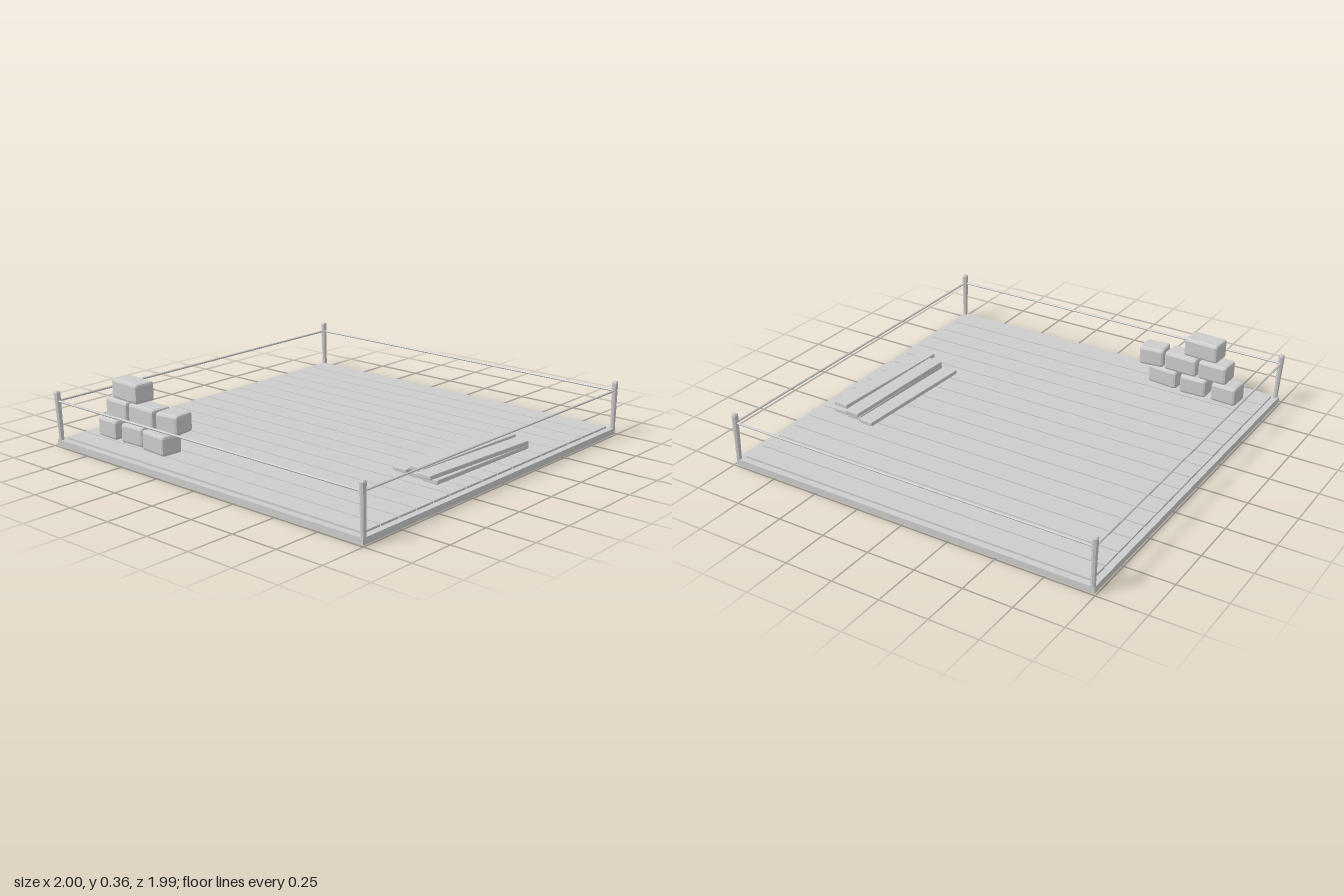
import * as THREE from 'three';
import { RoundedBoxGeometry } from 'three/addons/geometries/RoundedBoxGeometry.js';

const grey = new THREE.MeshStandardMaterial({ color: 0xcccccc, flatShading: true });
grey.name = 'plain grey';

function add(parent, name, geometry, x, y, z, turn = 0) {
  const mesh = new THREE.Mesh(geometry, grey);
  mesh.name = name;
  mesh.position.set(x, y, z);
  mesh.rotation.y = turn;
  parent.add(mesh);
  return mesh;
}

// Round bar between two points, optionally tapered
function bar(parent, name, a, b, r0, r1, sides) {
  const from = new THREE.Vector3(...a), dir = new THREE.Vector3(...b).sub(from);
  const mesh = add(parent, name, new THREE.CylinderGeometry(r1, r0, dir.length(), sides), 0, 0, 0);
  mesh.position.copy(from).addScaledVector(dir, 0.5);
  mesh.quaternion.setFromUnitVectors(new THREE.Vector3(0, 1, 0), dir.normalize());
}

export function createModel() {
  const model = new THREE.Group();
  model.name = 'woodenPlatform';

  // Base slab with a slightly raised plank floor
  add(model, 'base', new THREE.BoxGeometry(1.98, 0.032, 1.98), 0, 0.016, 0);
  const floor = new THREE.Group();
  floor.name = 'plankFloor';
  model.add(floor);
  const pitch = 0.12;
  for (let i = 0; i < 16; i++) {
    add(floor, 'plank', new THREE.BoxGeometry(1.915, 0.012, pitch - 0.007), 0, 0.036, (i - 7.5) * pitch);
  }

  // Leaning corner posts: foot x, foot z, top x, top z
  const fence = new THREE.Group();
  fence.name = 'fence';
  model.add(fence);
  const posts = [
    [-0.972, 0.979, -0.984, 0.983],
    [0.981, 0.978, 0.979, 0.981],
    [0.981, -0.981, 0.982, -0.979],
    [-0.979, -0.981, -0.982, -0.979],
  ];
  posts.forEach(([x0, z0, x1, z1]) => {
    bar(fence, 'post', [x0, 0.03, z0], [x1, 0.272, z1], 0.012, 0.016, 8);
    bar(fence, 'postCap', [x1, 0.272, z1], [x1, 0.28, z1], 0.016, 0.012, 8);
  });
  // One rail along each side
  posts.forEach((p, i) => {
    const q = posts[(i + 1) % 4];
    bar(fence, 'rail', [p[2], 0.23, p[3]], [q[2], 0.23, q[3]], 0.006, 0.006, 6);
  });

  // Stacked blocks: x, y, z, width, turn
  const blocks = new THREE.Group();
  blocks.name = 'blockStack';
  model.add(blocks);
  [
    [-0.78, 0.098, 0.79, 0.14, -0.05],
    [-0.603, 0.098, 0.79, 0.148, 0.04],
    [-0.425, 0.098, 0.808, 0.17, -0.1],
    [-0.712, 0.206, 0.785, 0.16, -0.03],
    [-0.53, 0.206, 0.788, 0.185, -0.04],
    [-0.355, 0.206, 0.788, 0.136, 0.11],
    [-0.639, 0.312, 0.792, 0.19, -0.05],
  ].forEach(([x, y, z, w, turn]) =>
    add(blocks, 'block', new RoundedBoxGeometry(w, 0.1, 0.115, 1, 0.014), x, y, z, turn));

  // Loose boards in two layers: x, y, z, length, turn
  const boards = new THREE.Group();
  boards.name = 'boardPile';
  model.add(boards);
  [
    [0.634, 0.058, -0.06, 0.705, -0.05],
    [0.73, 0.058, -0.045, 0.7, -0.025],
    [0.822, 0.058, -0.033, 0.705, -0.022],
    [0.725, 0.084, -0.06, 0.705, -0.034],
    [0.82, 0.084, -0.01, 0.72, -0.058],
  ].forEach(([x, y, z, length, turn]) =>
    add(boards, 'board', new RoundedBoxGeometry(0.083, 0.022, length, 1, 0.004), x, y, z, turn));

  return model;
}
